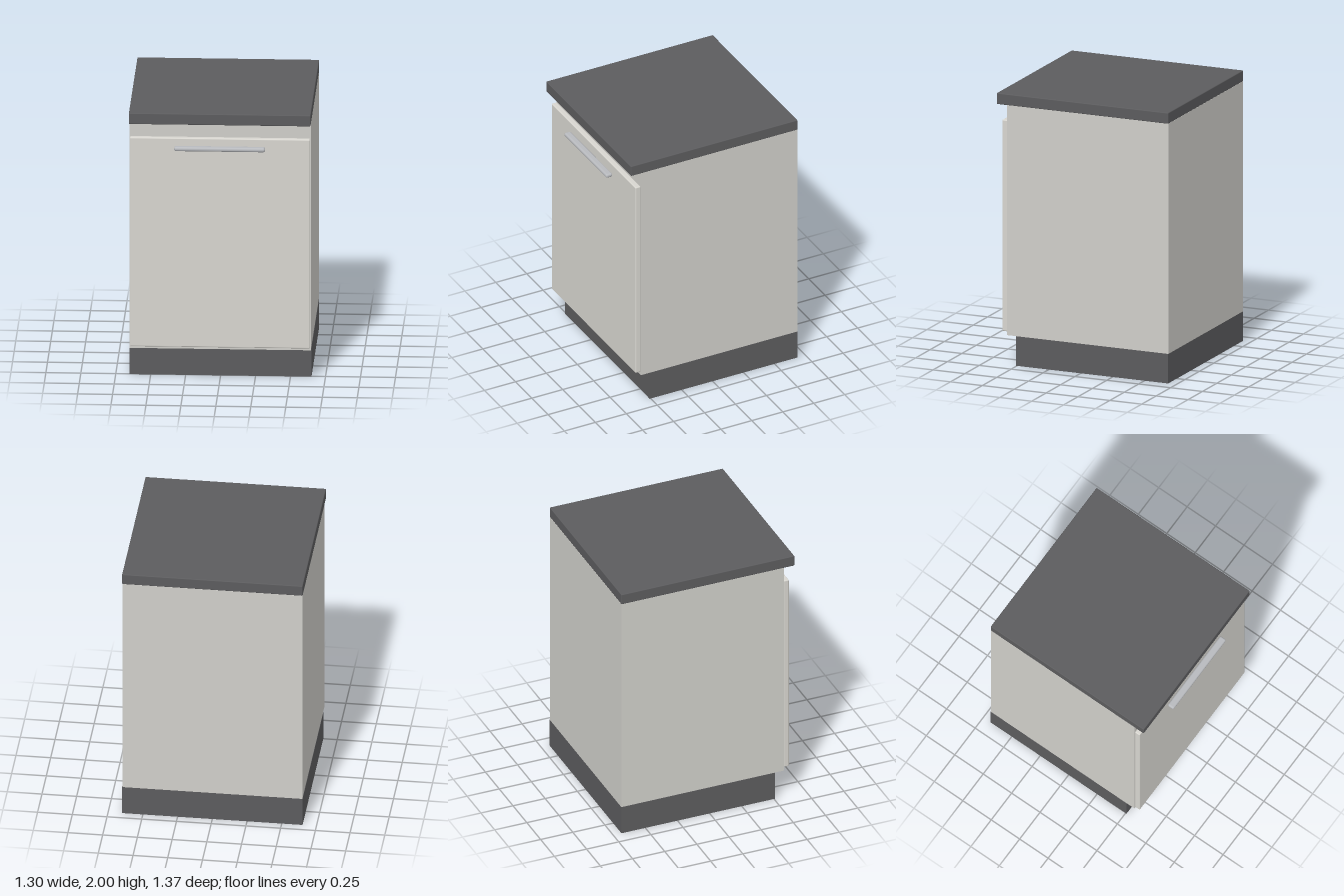
import * as THREE from 'three';
import { RoundedBoxGeometry } from 'three/addons/geometries/RoundedBoxGeometry.js';

const material = (color) => new THREE.MeshStandardMaterial({ color });

export function createModel() {
  const group = new THREE.Group();
  const dark = material(0x5c5c5e);
  const light = material(0xd0cfca);
  const door = material(0xd8d6d0);
  const metal = material(0xb8babe);

  // Box between two extents, with rounded edges when a radius is given
  function block(name, mat, halfWidth, [y0, y1], [z0, z1], radius = 0) {
    const size = [halfWidth * 2, y1 - y0, z1 - z0];
    const geometry = radius
      ? new RoundedBoxGeometry(...size, 4, radius)
      : new THREE.BoxGeometry(...size);
    const mesh = new THREE.Mesh(geometry, mat);
    mesh.name = name;
    mesh.position.set(0, (y0 + y1) / 2, (z0 + z1) / 2);
    group.add(mesh);
  }

  // Recessed base, cabinet body and overhanging worktop share the back plane
  block('plinth', dark, 0.65, [0, 0.218], [-0.686, 0.508]);
  block('cabinetBody', light, 0.648, [0.218, 1.92], [-0.686, 0.577]);
  block('worktop', dark, 0.65, [1.918, 2], [-0.686, 0.66], 0.006);

  // Front panel with softened edges and a floating bar handle
  block('door', door, 0.644, [0.243, 1.806], [0.577, 0.62], 0.008);
  block('handle', metal, 0.325, [1.726, 1.757], [0.635, 0.688], 0.014);

  return group;
}
